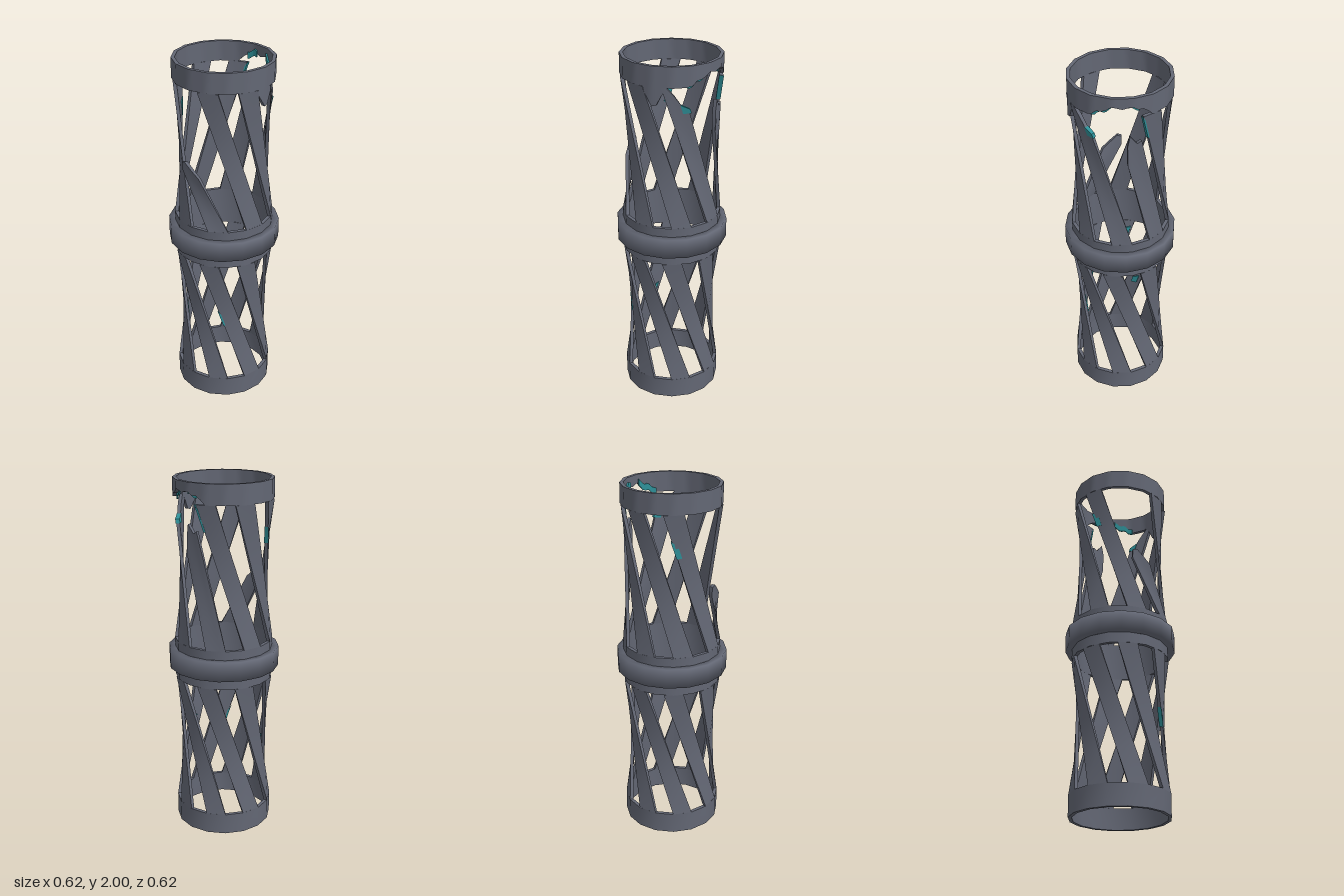
import * as THREE from 'three';
import { toCreasedNormals } from 'three/addons/utils/BufferGeometryUtils.js';

const OUTER = 0.273, INNER = 0.253, STRUTS = 8, TWIST = 56, HALF = 11.6, PHASE = 11.25;
const rad = THREE.MathUtils.degToRad, mix = THREE.MathUtils.lerp;
const metal = new THREE.MeshStandardMaterial({ color: 0x636774 });
metal.name = 'dark grey metal';
const teal = new THREE.MeshStandardMaterial({ color: 0x2e8f97 });
teal.name = 'teal core';

const polar = (deg, r, y) => new THREE.Vector3(Math.sin(rad(deg)) * r, y, Math.cos(rad(deg)) * r);

// Point on a 16-sided wall whose corners lie at phase + 22.5 degree steps
function wallPoint(deg, r, y, phase) {
  const f = (deg - phase) / 22.5, i = Math.floor(f + 1e-6);
  return polar(phase + i * 22.5, r, y).lerp(polar(phase + (i + 1) * 22.5, r, y), f - i);
}

// Closed curved slab: point(u, v, inside) gives the outer and inner skins
function slab(point, nu, nv, ends = true, crease = 0.6) {
  const pos = [];
  const at = (i, j, inside) => point(i / nu, j / nv, inside);
  const quad = (a, b, c, d) => [a, b, c, a, c, d].forEach((p) => pos.push(p.x, p.y, p.z));
  for (let i = 0; i < nu; i++) {
    for (let j = 0; j < nv; j++) {
      quad(at(i, j, 0), at(i + 1, j, 0), at(i + 1, j + 1, 0), at(i, j + 1, 0));
      quad(at(i, j, 1), at(i, j + 1, 1), at(i + 1, j + 1, 1), at(i + 1, j, 1));
    }
    quad(at(i, 0, 0), at(i, 0, 1), at(i + 1, 0, 1), at(i + 1, 0, 0));
    quad(at(i, nv, 0), at(i + 1, nv, 0), at(i + 1, nv, 1), at(i, nv, 1));
  }
  if (ends) for (let j = 0; j < nv; j++) {
    quad(at(0, j, 0), at(0, j + 1, 0), at(0, j + 1, 1), at(0, j, 1));
    quad(at(nu, j, 0), at(nu, j, 1), at(nu, j + 1, 1), at(nu, j + 1, 0));
  }
  const g = new THREE.BufferGeometry();
  g.setAttribute('position', new THREE.Float32BufferAttribute(pos, 3));
  return toCreasedNormals(g, crease);
}

// Ring wall; low(deg) gives the height of its lower edge
function band(rOut, rIn, low, high, { phase = PHASE, steps = 1, crease = 0.6 } = {}) {
  return slab((u, v, inside) => {
    const deg = phase + u * 360;
    return wallPoint(deg, inside ? rIn : rOut, mix(low(deg), high, v), phase);
  }, 16 * steps, 1, false, crease);
}

// Straight leaning strut; from and to are fractions of its length, to may be a torn edge
function strut(k, [y0, y1], o = {}) {
  const { from = 0, to = () => 1, uMin = 0, uMax = 1, twist = TWIST, padOut = 0, padIn = 0, nu = 1 } = o;
  return slab((u, v, inside) => {
    const across = mix(uMin, uMax, u), t = mix(from, to(u), v);
    const r = inside ? INNER - padIn : OUTER + padOut;
    const deg = k * 360 / STRUTS;
    const edge = (lean, y) => polar(deg - HALF - lean, r, y).lerp(polar(deg + HALF - lean, r, y), across);
    return edge(0, y0).lerp(edge(twist, y1), t);
  }, nu, 4);
}

// Lower edge of the top band: a hanging scrap on the left, a torn opening at the back
const tear = [[88, 1.89], [95, 1.84], [103, 1.78], [109, 1.81], [116, 1.89],
  [140, 1.89], [148, 1.9], [153, 1.925], [160, 1.92], [168, 1.955], [180, 1.94],
  [190, 1.955], [198, 1.93], [205, 1.935], [212, 1.89]];
function tornEdge(deg) {
  const d = ((deg % 360) + 360) % 360;
  for (let i = 1; i < tear.length; i++) {
    const [a, ya] = tear[i - 1], [b, yb] = tear[i];
    if (d >= a && d <= b) return mix(ya, yb, (d - a) / (b - a));
  }
  return 1.89;
}

export function createModel() {
  const model = new THREE.Group();
  const add = (name, geometry, material = metal) => {
    const mesh = new THREE.Mesh(geometry, material);
    mesh.name = name;
    model.add(mesh);
  };

  // Bands and softly shaded collar
  add('bottomBand', band(OUTER, INNER, () => 0, 0.12));
  add('middleBand', band(OUTER, INNER, () => 0.89, 1.11));
  add('topBand', band(OUTER, INNER, tornEdge, 2, { steps: 4 }));
  add('collar', band(0.309, 0.262, () => 0.95, 1.06, { phase: 4, crease: 1.7 }));

  // Two tiers of struts, with three upper ones snapped
  const lower = [0.12, 0.89], upper = [1.11, 1.89], stub = [1.11, 1.48];
  const jag = (base, teeth) => (u) => base + teeth[Math.round(u * (teeth.length - 1))];
  const broken = {
    1: { to: jag(0.9, [-0.05, 0.08, 0.1, 0, -0.1]), nu: 4, twist: 44 },
    4: { to: jag(0.86, [0.14, 0.14, 0.08, 0, -0.02]), nu: 4 },
    5: { to: jag(0.76, [-0.12, 0.02, 0.1, 0.04, 0.06]), nu: 4, twist: 42 },
  };
  for (let k = 0; k < STRUTS; k++) {
    add('lowerStrut', strut(k, lower));
    add('upperStrut', strut(k, k === 1 ? stub : upper, broken[k]));
  }

  // Exposed teal core: [strut, tier, from, to, uMin, uMax, shown outside too]
  const chips = [
    [4, upper, 0.82, 0.88, 0.65, 1.08, true],
    [0, upper, 0.7, 0.82, -0.05, 0.26, true],
    [6, upper, 0.82, 1, -0.05, 0.04, true],
    [2, lower, 0.47, 0.6, -0.04, 0.08, true],
    [3, lower, 0.47, 0.58, 0.5, 0.9, false],
    [3, lower, 0.79, 0.86, 0.1, 0.4, false],
    [1, lower, 0.86, 0.95, 0.1, 0.8, false],
    [0, lower, 0.42, 0.5, 0.2, 0.6, false],
  ];
  for (const [k, tier, from, to, uMin, uMax, through] of chips) {
    add('exposedCore', strut(k, tier, {
      from, to: (u) => to - 0.03 * u, uMin, uMax,
      padIn: through ? 0.003 : 0.008, padOut: through ? 0.002 : -0.02,
    }), teal);
  }

  // Teal lining along the torn rim
  for (const [a, b] of [[142, 168], [186, 200]]) {
    add('tornRim', slab((u, v, inside) => {
      const deg = mix(a, b, u);
      return wallPoint(deg, inside ? INNER - 0.009 : INNER, tornEdge(deg) - 0.015 + v * 0.035, PHASE);
    }, 8, 1), teal);
  }
  return model;
}
